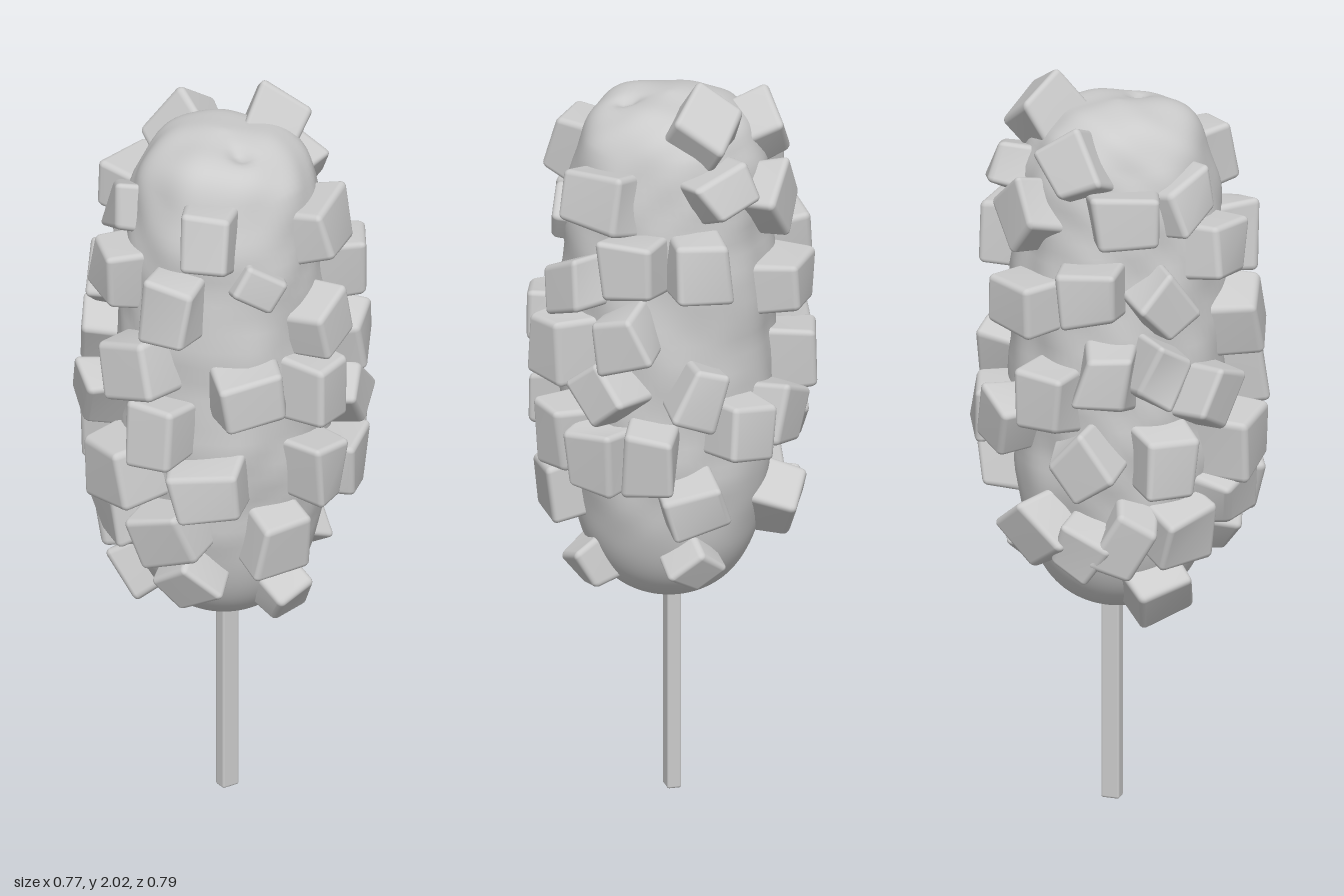
import * as THREE from 'three';
import { mergeVertices } from 'three/addons/utils/BufferGeometryUtils.js';
import { RoundedBoxGeometry } from 'three/addons/geometries/RoundedBoxGeometry.js';

const material = new THREE.MeshStandardMaterial({ color: 0xcccccc, roughness: 0.8 });

// Side profile of the battered body: radius, height
const profile = new THREE.SplineCurve([
  [0, 0.55], [0.09, 0.565], [0.165, 0.615], [0.218, 0.7], [0.25, 0.82], [0.272, 1.0], [0.28, 1.25],
  [0.27, 1.55], [0.252, 1.74], [0.21, 1.86], [0.13, 1.92], [0, 1.937],
].map(([r, y]) => new THREE.Vector2(r, y))).getPoints(72);

// Radius and outward slope of the profile at a height
function profileAt(y) {
  const i = profile.findIndex((p) => p.y > y);
  const a = profile[i - 1], b = profile[i];
  const t = (y - a.y) / (b.y - a.y);
  const tangent = b.clone().sub(a).normalize();
  return { r: a.x + (b.x - a.x) * t, out: tangent.y, up: -tangent.x };
}

function seeded(seed) {
  let s = seed;
  return () => (s = (s * 16807) % 2147483647) / 2147483647 - 0.5;
}

// Drop seams so that deformed geometry shades smoothly
function smooth(geometry) {
  geometry.deleteAttribute('uv');
  geometry.deleteAttribute('normal');
  const merged = mergeVertices(geometry, 1e-5);
  merged.computeVertexNormals();
  return merged;
}

// Lumpy body with a small dimple on top
function bodyGeometry() {
  const geometry = new THREE.LatheGeometry(profile, 72);
  const pos = geometry.attributes.position;
  const v = new THREE.Vector3();
  for (let i = 0; i < pos.count; i++) {
    v.fromBufferAttribute(pos, i);
    const lump = Math.sin(v.x * 17 + v.y * 9) * Math.sin(v.z * 15 - v.y * 13)
      + 0.5 * Math.sin(v.x * 31 - v.y * 27 + 1) * Math.sin(v.z * 33 + v.y * 19);
    const k = 1 + 0.03 * lump * THREE.MathUtils.smoothstep(v.y, 0.7, 0.95);
    if (v.y > 1.8) {
      const d = Math.hypot(v.x + 0.02, v.z - 0.11);
      v.y += 0.006 * lump - 0.02 * Math.exp(-d * d / 0.0008);
    }
    pos.setXYZ(i, v.x * k, v.y, v.z * k);
  }
  return smooth(geometry);
}

// Soft potato cube with uneven corners, tapering slightly outwards
function cubeGeometry(w, h, depth, rand) {
  const geometry = new RoundedBoxGeometry(w, h, depth, 3, 0.016);
  const corners = Array.from({ length: 8 }, () =>
    new THREE.Vector3(rand(), rand(), rand()).multiplyScalar(0.036));
  const pos = geometry.attributes.position;
  const v = new THREE.Vector3();
  for (let i = 0; i < pos.count; i++) {
    v.fromBufferAttribute(pos, i);
    const f = [v.x / w + 0.5, v.y / h + 0.5, v.z / depth + 0.5];
    const taper = 1.04 - 0.08 * f[2];
    v.x *= taper;
    v.y *= taper;
    corners.forEach((c, n) => {
      const weight = f.reduce((m, t, axis) => m * ((n >> axis) & 1 ? t : 1 - t), 1);
      v.addScaledVector(c, weight);
    });
    pos.setXYZ(i, v.x, v.y, v.z);
  }
  return smooth(geometry);
}

// Kinds of scattered cubes; spots hold degrees from the front towards +x, and height
const upright = { w: 0.142, h: 0.17, roll: -2, spots: [
  [-42, 1.74], [-60, 1.55], [57, 1.55], [91, 1.56], [15, 1.29], [194, 1.28], [-65, 1.19],
  [111, 1.1], [164, 1.21], [17, 1.05], [40, 1.02], [66, 1.03], [222, 1.04], [-4, 0.87], [256, 1.58],
] };
const wide = { w: 0.175, h: 0.145, roll: 5, spots: [
  [34, 1.71], [202, 1.71], [148, 1.45], [185, 1.51], [-21, 1.31], [-41, 1.04], [-88, 1.04], [235, 0.83],
] };
const leaningLeft = { w: 0.16, h: 0.14, roll: 21, spots: [
  [106, 1.75], [22, 1.47], [53, 1.36], [-80, 1.36], [86, 0.9], [-60, 0.9], [266, 0.9], [230, 0.655],
] };
const diagonal = { w: 0.15, h: 0.15, roll: 40, spots: [
  [172, 1.82], [143, 1.68], [222, 1.47], [43, 1.2], [184, 1.04], [155, 0.83], [-55, 0.76],
] };
const leaningRight = { w: 0.125, h: 0.16, roll: -21, spots: [
  [217, 1.29], [89, 1.21], [135, 1.1], [246, 1.2], [180, 0.8], [202, 0.83],
] };

export function createModel() {
  const model = new THREE.Group();
  model.name = 'potatoCornDog';
  const coating = new THREE.Group();
  coating.name = 'potatoCubes';
  model.add(coating);

  const add = (parent, name, geometry) => {
    const mesh = new THREE.Mesh(geometry, material);
    mesh.name = name;
    parent.add(mesh);
    return mesh;
  };

  // Stick
  add(model, 'stick', new RoundedBoxGeometry(0.05, 0.7, 0.038, 2, 0.006)).position.set(0.014, 0.35, -0.005);

  // Batter body
  add(model, 'batterBody', bodyGeometry());

  // Each potato cube faces out along the surface; lift moves it out of the batter
  const rand = seeded(4711);
  const addCube = (angle, y, w, h, roll, lift) => {
    const cube = add(coating, 'potatoCube', cubeGeometry(w, h, 0.155, rand));
    const a = THREE.MathUtils.degToRad(angle);
    const { r, out, up } = profileAt(y);
    const radius = r + lift * out;
    cube.position.set(Math.sin(a) * radius, y + lift * up, Math.cos(a) * radius);
    cube.rotation.set(-Math.atan2(up, out), a, THREE.MathUtils.degToRad(roll), 'YXZ');
  };

  // Scattered cubes, standing out most around the middle
  for (const { w, h, roll, spots } of [upright, wide, leaningLeft, diagonal, leaningRight]) {
    for (const [angle, y] of spots) {
      const lift = 0.022 - 0.09 * (y - 1.2) ** 2;
      addCube(angle, y, w + 0.015 * rand(), h + 0.015 * rand(), roll + 10 * rand(), lift);
    }
  }
  // Cube on the crown, then smaller or deeper ones sunk into the batter
  addCube(100, 1.89, 0.16, 0.16, 42, -0.01);
  addCube(242, 1.73, 0.16, 0.14, 20, -0.035);
  addCube(-13, 1.6, 0.13, 0.12, -35, -0.045);
  addCube(11, 0.67, 0.13, 0.12, 8, -0.015);
  addCube(91, 0.71, 0.12, 0.12, 45, -0.005);
  return model;
}
